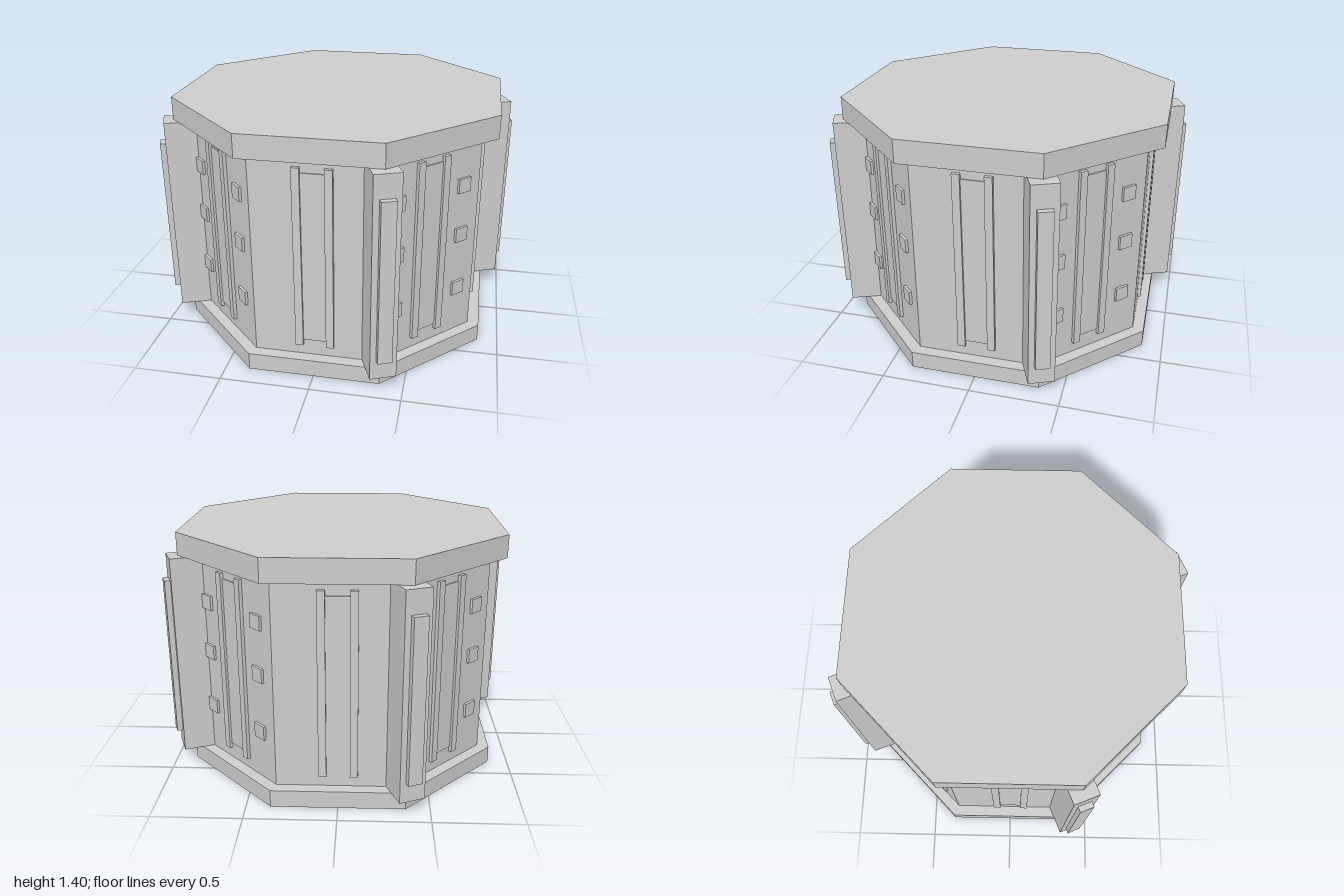
import * as THREE from 'three';

const APOTHEM = 0.82;

export function createModel() {
  const model = new THREE.Group();
  model.name = 'octagonalDrum';
  const grey = new THREE.MeshStandardMaterial({ color: 0xcccccc, flatShading: true });
  grey.name = 'light grey';

  // Octagonal slab with flat sides facing the main axes
  function octagon(name, apothem, y0, y1) {
    const r = apothem / Math.cos(Math.PI / 8);
    const mesh = new THREE.Mesh(new THREE.CylinderGeometry(r, r, y1 - y0, 8, 1, false, Math.PI / 8), grey);
    mesh.name = name;
    mesh.position.y = (y0 + y1) / 2;
    model.add(mesh);
  }

  // Box on a side: x along the side, z outward
  function box(parent, name, x, width, y0, y1, z0, z1) {
    const mesh = new THREE.Mesh(new THREE.BoxGeometry(width, y1 - y0, z1 - z0), grey);
    mesh.name = name;
    mesh.position.set(x, (y0 + y1) / 2, (z0 + z1) / 2);
    parent.add(mesh);
  }

  octagon('base', 0.884, 0, 0.1);
  octagon('body', APOTHEM, 0.1, 1.27);
  octagon('lid', 0.906, 1.27, 1.4);

  // Framed panel on every side, studs on the diagonal sides
  for (let i = 0; i < 8; i++) {
    const side = new THREE.Group();
    side.name = 'sidePanel';
    side.rotation.y = i * Math.PI / 4;
    box(side, 'panel', 0, 0.13, 0.195, 1.185, APOTHEM - 0.02, APOTHEM + 0.006);
    for (const s of [-1, 1]) {
      box(side, 'rail', s * 0.085, 0.043, 0.165, 1.217, APOTHEM - 0.02, APOTHEM + 0.02);
      if (i % 2) {
        for (const y of [0.385, 0.722, 1.017]) {
          box(side, 'stud', s * 0.223, 0.082, y - 0.041, y + 0.041, APOTHEM - 0.02, APOTHEM + 0.015);
        }
      }
    }
    model.add(side);
  }

  // Corner posts with a raised strip on every other corner
  for (let i = 0; i < 4; i++) {
    const corner = new THREE.Group();
    corner.name = 'cornerPost';
    corner.rotation.y = Math.PI / 8 + i * Math.PI / 2;
    box(corner, 'post', 0, 0.146, 0.1, 1.27, 0.8, 1.034);
    box(corner, 'strip', 0, 0.08, 0.215, 1.14, 1.0, 1.066);
    model.add(corner);
  }
  return model;
}
